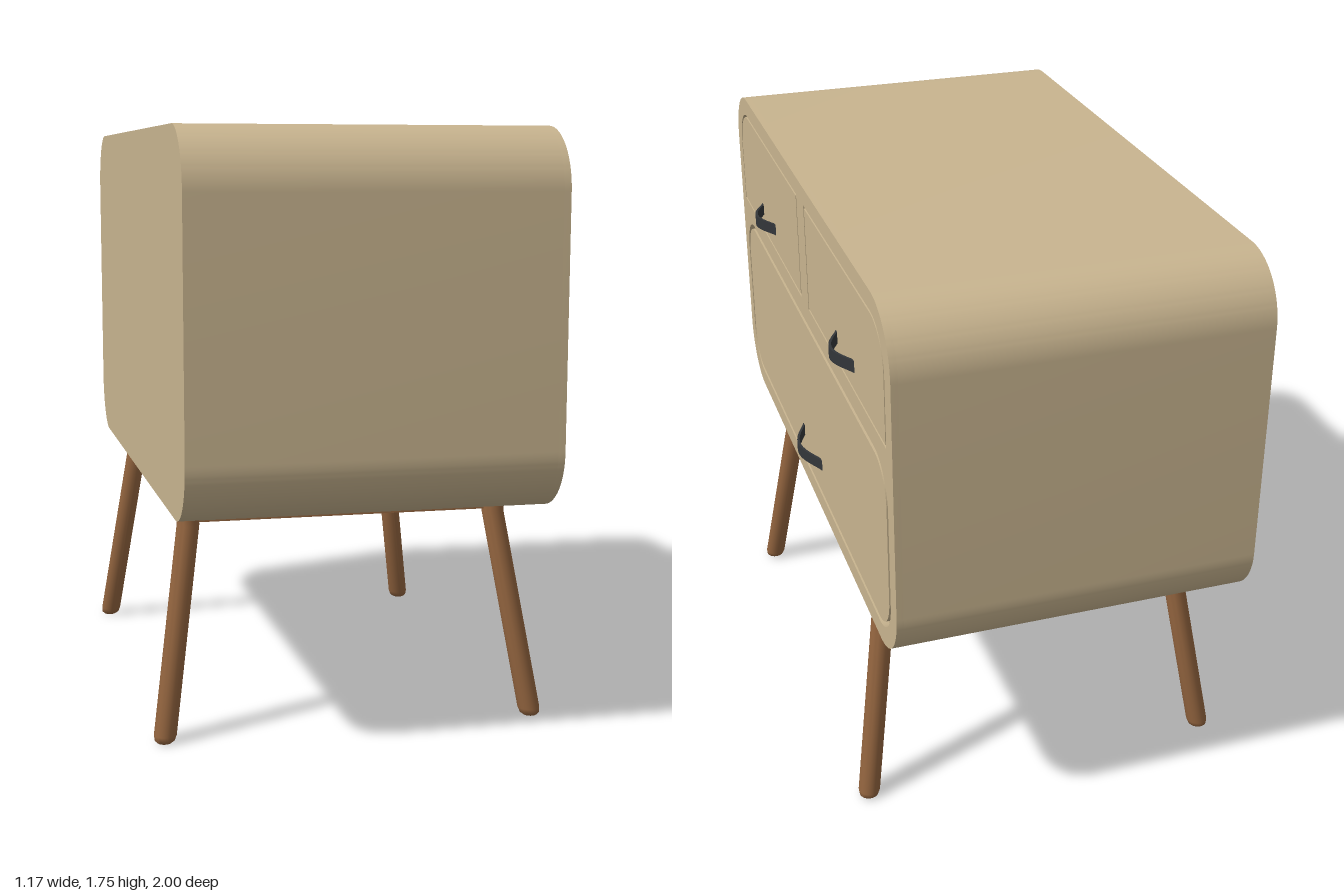
import * as THREE from 'three';
import { toCreasedNormals } from 'three/addons/utils/BufferGeometryUtils.js';

const paint = new THREE.MeshStandardMaterial({ name: 'beige lacquer', color: 0xc8b48f });
const wood = new THREE.MeshStandardMaterial({ name: 'brown wood', color: 0x956640 });
const metal = new THREE.MeshStandardMaterial({ name: 'dark metal', color: 0x33363a });

const BACK = -0.535, FRONT = 0.53, GROOVE = 0.02;

// Rectangle with its own radius at each corner: bottom left, bottom right, top right, top left
function roundedRect(x0, y0, x1, y1, [bl, br, tr, tl]) {
  const s = new THREE.Shape();
  s.moveTo(x0 + bl, y0);
  s.lineTo(x1 - br, y0);
  if (br) s.absarc(x1 - br, y0 + br, br, -Math.PI / 2, 0, false);
  s.lineTo(x1, y1 - tr);
  if (tr) s.absarc(x1 - tr, y1 - tr, tr, 0, Math.PI / 2, false);
  s.lineTo(x0 + tl, y1);
  if (tl) s.absarc(x0 + tl, y1 - tl, tl, Math.PI / 2, Math.PI, false);
  s.lineTo(x0, y0 + bl);
  if (bl) s.absarc(x0 + bl, y0 + bl, bl, Math.PI, Math.PI * 1.5, false);
  return s;
}

// Extrude a shape drawn facing the drawer side, from x = from to x = to
function slab(name, shape, from, to) {
  let g = new THREE.ExtrudeGeometry(shape, { depth: to - from, bevelEnabled: false, curveSegments: 16 });
  g.translate(0, 0, from);
  g.rotateY(Math.PI / 2);
  g = toCreasedNormals(g, 0.5);
  const mesh = new THREE.Mesh(g, paint);
  mesh.name = name;
  return mesh;
}

// Bowed strip handle, centred on z
function handle(name, y, z, length, bow) {
  const n = 20, height = 0.036, thick = 0.008, outer = [], inner = [];
  for (let i = 0; i <= n; i++) {
    const t = i / n, d = bow * Math.pow(Math.sin(Math.PI * t), 1.2);
    outer.push(new THREE.Vector2((t - 0.5) * length, d));
    inner.push(new THREE.Vector2((t - 0.5) * length, d - thick));
  }
  const shape = new THREE.Shape([...inner, ...outer.reverse()]);
  let g = new THREE.ExtrudeGeometry(shape, { depth: height, bevelEnabled: false });
  g.applyMatrix4(new THREE.Matrix4().makeBasis(
    new THREE.Vector3(0, 0, 1), new THREE.Vector3(1, 0, 0), new THREE.Vector3(0, 1, 0)));
  g = toCreasedNormals(g, 0.6);
  const mesh = new THREE.Mesh(g, metal);
  mesh.name = name;
  mesh.position.set(FRONT, y - height / 2, z);
  return mesh;
}

// Round leg: upright at the top, splayed outwards below the bend
function leg(name, sx, sz) {
  const r = 0.033, bend = 0.61;
  const profile = [[0, 0], [0.02, 0], [0.029, 0.007], [r, 0.022], [r, bend], [r, 0.68]]
    .map(([x, y]) => new THREE.Vector2(x, y));
  const g = new THREE.LatheGeometry(profile, 24);
  const p = g.attributes.position;
  for (let i = 0; i < p.count; i++) {
    const k = Math.max(0, bend - p.getY(i)) / bend;
    p.setX(i, p.getX(i) + sx * (0.465 + 0.091 * k));
    p.setZ(i, p.getZ(i) + sz * (0.597 + 0.108 * k));
  }
  const mesh = new THREE.Mesh(toCreasedNormals(g, 0.9), wood);
  mesh.name = name;
  return mesh;
}

export function createModel() {
  const model = new THREE.Group();
  model.name = 'chestOfDrawers';

  // Cabinet body and the face frame with drawer openings
  const R = 0.18, outline = () => roundedRect(-1, 0.675, 1, 1.75, [R, R, R, R]);
  model.add(slab('cabinetBody', outline(), BACK, FRONT - GROOVE));
  const frame = outline();

  // Drawers: [name, x0, y0, x1, y1, corner radii, groove width]
  const drawers = [
    ['upperLeftDrawer', -0.942, 1.357, -0.048, 1.694, [0, 0, 0, 0.13], 0.008],
    ['upperRightDrawer', 0.048, 1.357, 0.942, 1.694, [0, 0, 0.13, 0], 0.008],
    ['lowerDrawer', -0.942, 0.732, 0.942, 1.295, [0.13, 0.13, 0.13, 0.13], 0.016],
  ];
  for (const [name, x0, y0, x1, y1, radii, gap] of drawers) {
    frame.holes.push(roundedRect(x0, y0, x1, y1, radii));
    const inset = radii.map((r) => (r ? r - gap : 0));
    model.add(slab(name, roundedRect(x0 + gap, y0 + gap, x1 - gap, y1 - gap, inset), FRONT - GROOVE, FRONT));
  }
  model.add(slab('faceFrame', frame, FRONT - GROOVE, FRONT));

  // Handles
  model.add(handle('upperLeftHandle', 1.437, 0.515, 0.21, 0.044));
  model.add(handle('upperRightHandle', 1.437, -0.515, 0.21, 0.044));
  model.add(handle('lowerHandle', 0.853, 0, 0.265, 0.047));

  // Base plate and legs
  const base = new THREE.Mesh(new THREE.BoxGeometry(0.95, 0.06, 1.21), wood);
  base.name = 'basePlate';
  base.position.y = 0.648;
  model.add(base);
  for (const sx of [-1, 1]) {
    for (const sz of [-1, 1]) {
      model.add(leg((sz > 0 ? 'front' : 'back') + (sx > 0 ? 'Left' : 'Right') + 'Leg', sx, sz));
    }
  }
  return model;
}
